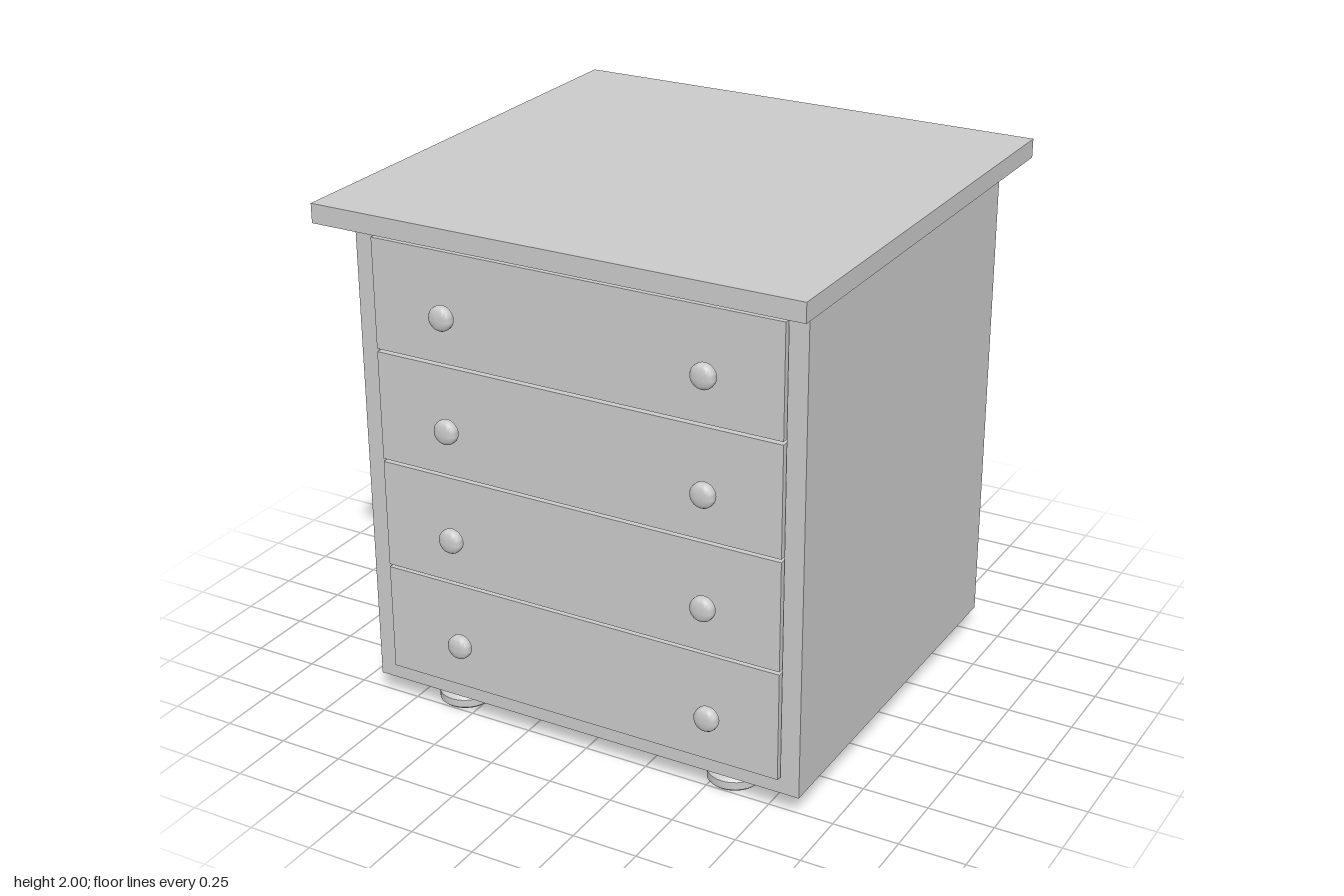
import * as THREE from 'three';
import { toCreasedNormals } from 'three/addons/utils/BufferGeometryUtils.js';

const material = new THREE.MeshStandardMaterial({ color: 0xcccccc });

function add(parent, name, geometry, x = 0, y = 0, z = 0) {
  const mesh = new THREE.Mesh(geometry, material);
  mesh.name = name;
  mesh.position.set(x, y, z);
  parent.add(mesh);
  return mesh;
}

function lathe(points, segments) {
  const profile = points.map(([r, y]) => new THREE.Vector2(r, y));
  return toCreasedNormals(new THREE.LatheGeometry(profile, segments), 0.6);
}

export function createModel() {
  const model = new THREE.Group();
  model.name = 'chestOfDrawers';

  const halfW = 0.883, halfD = 0.783;      // carcass
  const bottom = 0.085, top = 1.875;
  const innerW = 0.81, floorY = 0.145;     // drawer opening

  // Carcass: two sides and a floor, open at front and back
  const section = new THREE.Shape([
    [-halfW, bottom], [halfW, bottom], [halfW, top], [innerW, top],
    [innerW, floorY], [-innerW, floorY], [-innerW, top], [-halfW, top],
  ].map(([x, y]) => new THREE.Vector2(x, y)));
  const carcass = new THREE.ExtrudeGeometry(section, { depth: 2 * halfD, bevelEnabled: false });
  add(model, 'carcass', carcass, 0, 0, -halfD);

  // Table top: flat slab over a moulding that tapers down to the carcass
  const topW = 0.947, topD = 0.94, slabY = 1.928;
  add(model, 'topSlab', new THREE.BoxGeometry(2 * topW, 2 - slabY, 2 * topD), 0, (2 + slabY) / 2, 0);
  const moulding = new THREE.BoxGeometry(2 * topW, slabY - top, 2 * topD);
  const pos = moulding.attributes.position;
  for (let i = 0; i < pos.count; i++) {
    if (pos.getY(i) < 0) {
      pos.setX(i, Math.sign(pos.getX(i)) * halfW);
      pos.setZ(i, Math.sign(pos.getZ(i)) * halfD);
    }
  }
  moulding.computeVertexNormals();
  add(model, 'topMoulding', moulding, 0, (slabY + top) / 2, 0);

  // Drawers, each with two round knobs; narrow gaps run between them
  const frontZ = 0.8, drawerH = 0.419, pitch = 0.4305;
  const drawerGeo = new THREE.BoxGeometry(2 * innerW - 0.006, drawerH, frontZ + halfD);
  const knobGeo = lathe([
    [0.016, -0.01], [0.016, 0.02], [0.038, 0.02], [0.046, 0.027], [0.047, 0.036],
    [0.046, 0.046], [0.041, 0.054], [0.03, 0.059], [0.015, 0.061], [0, 0.062],
  ], 32);
  for (let i = 0; i < 4; i++) {
    const drawer = new THREE.Group();
    drawer.name = `drawer${i + 1}`;
    drawer.position.y = floorY + 0.002 + drawerH / 2 + i * pitch;
    model.add(drawer);
    add(drawer, 'drawerBox', drawerGeo, 0, 0, (frontZ - halfD) / 2);
    const shift = i === 0 ? 0.032 : 0.015;
    for (const side of [-1, 1]) {
      const knob = add(drawer, 'knob', knobGeo, side * 0.514 + shift, -0.021, frontZ);
      knob.rotation.x = Math.PI / 2;
    }
  }

  // Levelling feet: wide disc, sloped shoulder and short stem
  const footGeo = lathe([
    [0, 0], [0.092, 0], [0.1, 0.008], [0.1, 0.038], [0.092, 0.046],
    [0.05, 0.066], [0.035, 0.068], [0.035, 0.09],
  ], 32);
  for (const x of [-0.59, 0.562])
    for (const z of [-0.642, 0.652]) add(model, 'foot', footGeo, x, 0, z);

  return model;
}
